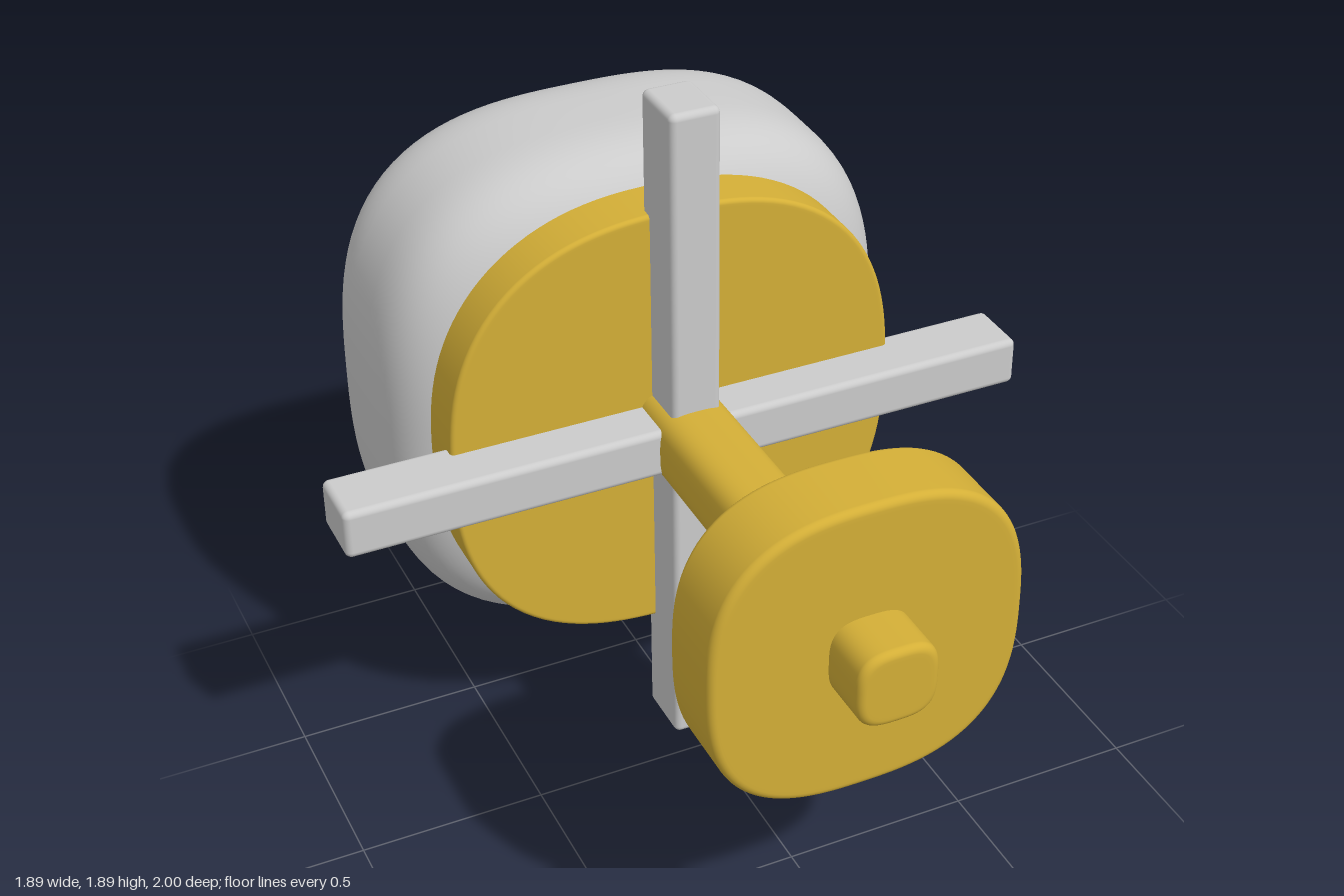
import * as THREE from 'three';
import { mergeVertices } from 'three/addons/utils/BufferGeometryUtils.js';
import { RoundedBoxGeometry } from 'three/addons/geometries/RoundedBoxGeometry.js';

const CENTER_Y = 0.95;
const grey = new THREE.MeshStandardMaterial({ color: 0xcccccc });
const gold = new THREE.MeshStandardMaterial({ color: 0xd4af37 });

// Lathe a profile around z, then square off its round section into a superellipse of power n
function squircleSolid(profile, n) {
  let geo = new THREE.LatheGeometry(profile, 128);
  const pos = geo.attributes.position;
  for (let i = 0; i < pos.count; i++) {
    const x = pos.getX(i), z = pos.getZ(i);
    const r = Math.hypot(x, z);
    if (r < 1e-6) continue;
    const k = Math.pow(Math.pow(Math.abs(x / r), n) + Math.pow(Math.abs(z / r), n), -1 / n);
    pos.setX(i, x * k);
    pos.setZ(i, z * k);
  }
  geo.deleteAttribute('uv');
  geo.deleteAttribute('normal');
  geo = mergeVertices(geo, 1e-5);
  geo.rotateX(Math.PI / 2);
  geo.computeVertexNormals();
  return geo;
}

// Flat-faced profile with a small rounded rim
function discProfile(radius, halfDepth, bevel) {
  const pts = [new THREE.Vector2(0, -halfDepth), new THREE.Vector2(radius - bevel * 1.5, -halfDepth)];
  for (const side of [-1, 1]) {
    for (let i = 0; i <= 6; i++) {
      const a = (side < 0 ? i / 6 - 1 : i / 6) * Math.PI / 2;
      pts.push(new THREE.Vector2(radius - bevel + bevel * Math.cos(a), side * (halfDepth - bevel) + bevel * Math.sin(a)));
    }
  }
  pts.push(new THREE.Vector2(radius - bevel * 1.5, halfDepth), new THREE.Vector2(0, halfDepth));
  return pts;
}

// Soft cushion profile
function cushionProfile(radius, halfDepth, n) {
  const pts = [];
  const steps = 64;
  for (let i = 0; i <= steps; i++) {
    const t = (i / steps - 0.5) * Math.PI;
    const c = i === 0 || i === steps ? 0 : Math.cos(t);
    pts.push(new THREE.Vector2(
      radius * Math.pow(c, 2 / n),
      halfDepth * Math.sign(t) * Math.pow(Math.abs(Math.sin(t)), 2 / n)));
  }
  return pts;
}

export function createModel() {
  const group = new THREE.Group();
  const add = (name, geo, mat, z) => {
    const mesh = new THREE.Mesh(geo, mat);
    mesh.name = name;
    mesh.position.set(0, CENTER_Y, z);
    group.add(mesh);
  };
  const addDisc = (name, radius, back, front, bevel, n) =>
    add(name, squircleSolid(discProfile(radius, (front - back) / 2, bevel), n), gold, (front + back) / 2);

  // Large rounded body at the back
  add('body', squircleSolid(cushionProfile(0.71, 0.37, 3.6), 2.9), grey, -0.63);

  // Gold plate, shaft and front disc
  addDisc('backPlate', 0.62, -0.37, -0.2, 0.012, 2.5);
  addDisc('shaft', 0.105, -0.25, 1, 0.02, 3.2);
  addDisc('frontDisc', 0.407, 0.645, 0.855, 0.02, 2.7);

  // Crossed bars in front of the plate
  add('horizontalBar', new RoundedBoxGeometry(1.89, 0.135, 0.175, 4, 0.018), grey, -0.158);
  add('verticalBar', new RoundedBoxGeometry(0.135, 1.89, 0.175, 4, 0.018), grey, -0.158);

  return group;
}
